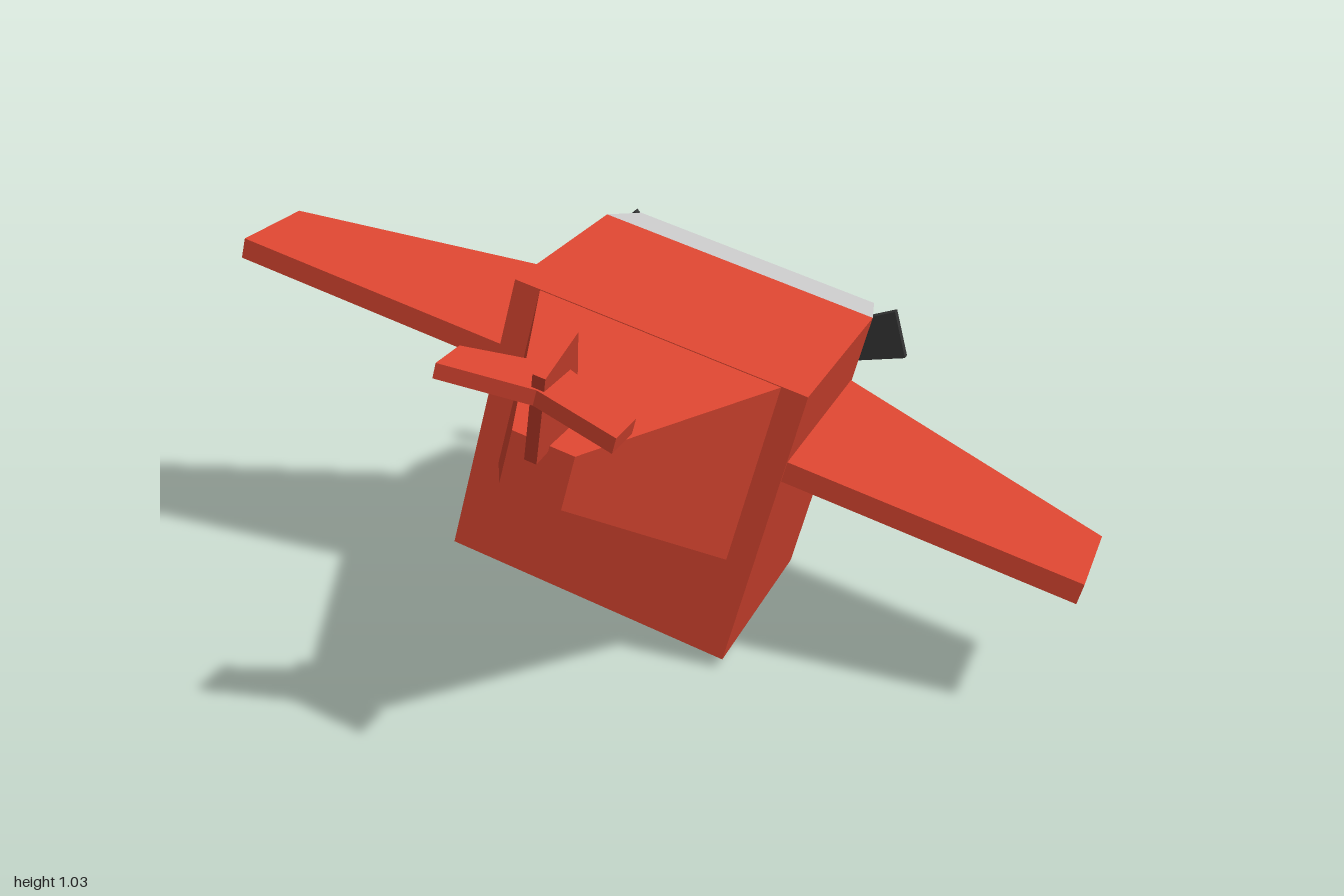
import * as THREE from 'three';

const red = new THREE.MeshStandardMaterial({ color: 0xd94530, flatShading: true });
const grey = new THREE.MeshStandardMaterial({ color: 0xcccccc, flatShading: true });
const dark = new THREE.MeshStandardMaterial({ color: 0x333333, flatShading: true });

// Box whose section changes between two z planes; a section is [halfWidth, bottom, top]
function taperedBox(z0, s0, z1, s1) {
  const g = new THREE.BoxGeometry(1, 1, 1);
  const p = g.attributes.position;
  for (let i = 0; i < p.count; i++) {
    const back = p.getZ(i) > 0;
    const [w, bottom, top] = back ? s1 : s0;
    p.setXYZ(i, Math.sign(p.getX(i)) * w, p.getY(i) > 0 ? top : bottom, back ? z1 : z0);
  }
  g.computeVertexNormals();
  return g;
}

// Flat plate cut from an outline, centred on its thickness
function plate(points, depth) {
  const shape = new THREE.Shape(points.map(([x, y]) => new THREE.Vector2(x, y)));
  return new THREE.ExtrudeGeometry(shape, { depth, bevelEnabled: false }).translate(0, 0, -depth / 2);
}

// Adds the mirror image of a half outline running from the centre line out
const mirrored = (half) => [...half, ...half.filter(([x]) => x > 0).map(([x, y]) => [-x, y]).reverse()];

export function createModel() {
  const plane = new THREE.Group();
  plane.name = 'airplane';
  const add = (name, geometry, material, parent = plane) => {
    const mesh = new THREE.Mesh(geometry, material);
    mesh.name = name;
    parent.add(mesh);
    return mesh;
  };

  // Fuselage: engine cowl, square cabin, tapering tail with a flat top
  const cabin = [0.352, -0.352, 0.352];
  add('engineCowl', taperedBox(-0.665, [0.319, -0.319, 0.319], -0.495, cabin), grey);
  add('cabin', taperedBox(-0.495, cabin, 0.04, cabin), red);
  add('tailBoom', taperedBox(0.04, [0.29, -0.1, 0.35], 0.65, [0.067, 0.229, 0.35]), red);

  // Wing passing through the cabin
  const wing = plate(mirrored([[0.35, -0.485], [1.03, -0.21], [1.03, 0.033]]), 0.05);
  add('wings', wing.rotateX(Math.PI / 2).translate(0, 0.16, 0), red);

  // Tail fin and swept tailplane
  const fin = plate([[0.52, 0.352], [0.7, 0.331], [0.77, 0.543], [0.65, 0.595]], 0.026);
  add('tailFin', fin.rotateY(-Math.PI / 2), red);
  const tailplane = plate([[0, 0.635], [0.18, 0.72], [0.18, 0.815], [0, 0.765], [-0.18, 0.815], [-0.18, 0.72]], 0.032);
  add('tailplane', tailplane.rotateX(Math.PI / 2).translate(0, 0.497, 0), red);

  // Propeller: rounded spinner and three blades that widen outwards
  const propeller = new THREE.Group();
  propeller.name = 'propeller';
  plane.add(propeller);
  const profile = [[0, 0.65], [0.08, 0.65], [0.08, 0.745], [0.07, 0.785], [0.042, 0.812], [0, 0.822]]
    .map(([r, y]) => new THREE.Vector2(r, y));
  add('spinner', new THREE.LatheGeometry(profile, 10).rotateX(-Math.PI / 2), grey, propeller);
  const blade = plate([[-0.03, -0.03], [-0.062, -0.456], [0.062, -0.456], [0.03, -0.03]], 0.022);
  blade.translate(0, 0, -0.762);
  for (let i = 0; i < 3; i++) {
    add('blade', blade, dark, propeller).rotation.z = (i * Math.PI * 2) / 3;
  }

  // Banked attitude
  plane.rotation.z = -0.26;
  plane.position.set(-0.04, 0.46, 0);
  const model = new THREE.Group();
  model.name = 'bankedAirplane';
  model.add(plane);
  return model;
}
